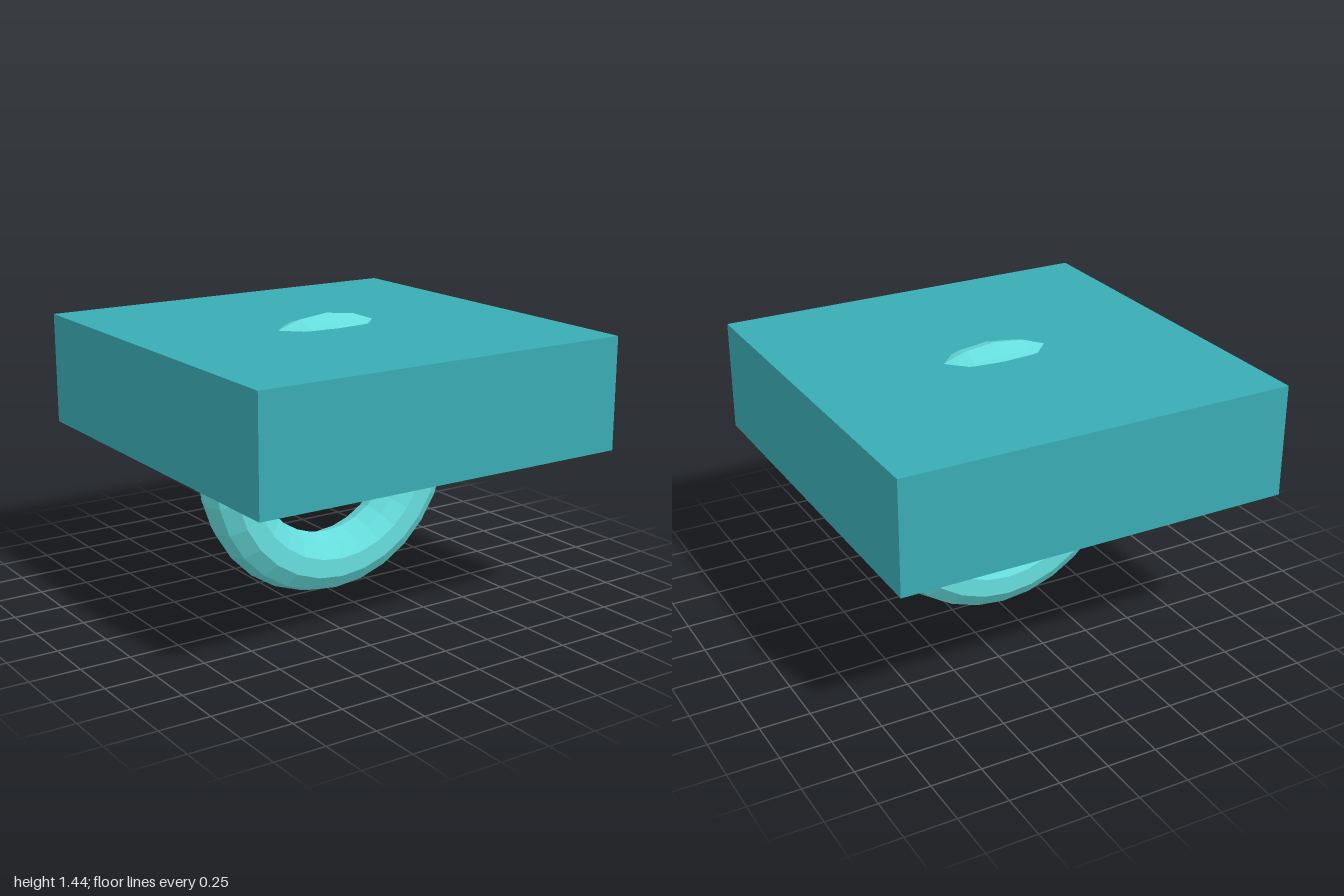
import * as THREE from 'three';

export function createModel() {
  const group = new THREE.Group();
  const teal = new THREE.MeshStandardMaterial({ color: 0x39abb4 });
  const aqua = new THREE.MeshStandardMaterial({ color: 0x66dddd });
  teal.name = 'teal';
  aqua.name = 'aqua';

  const ringRadius = 0.564, tubeRadius = 0.154;
  const centreY = ringRadius + tubeRadius;

  // Faceted upright ring, standing on the ground
  const ringGeometry = new THREE.TorusGeometry(ringRadius, tubeRadius, 10, 28).toNonIndexed();
  ringGeometry.computeVertexNormals();
  const ring = new THREE.Mesh(ringGeometry, aqua);
  ring.name = 'ring';
  ring.position.y = centreY;

  // Square slab that the top of the ring pokes through
  const slab = new THREE.Mesh(new THREE.BoxGeometry(2, 0.564, 2), teal);
  slab.name = 'slab';
  slab.position.y = 1.095;

  group.add(ring, slab);
  return group;
}
